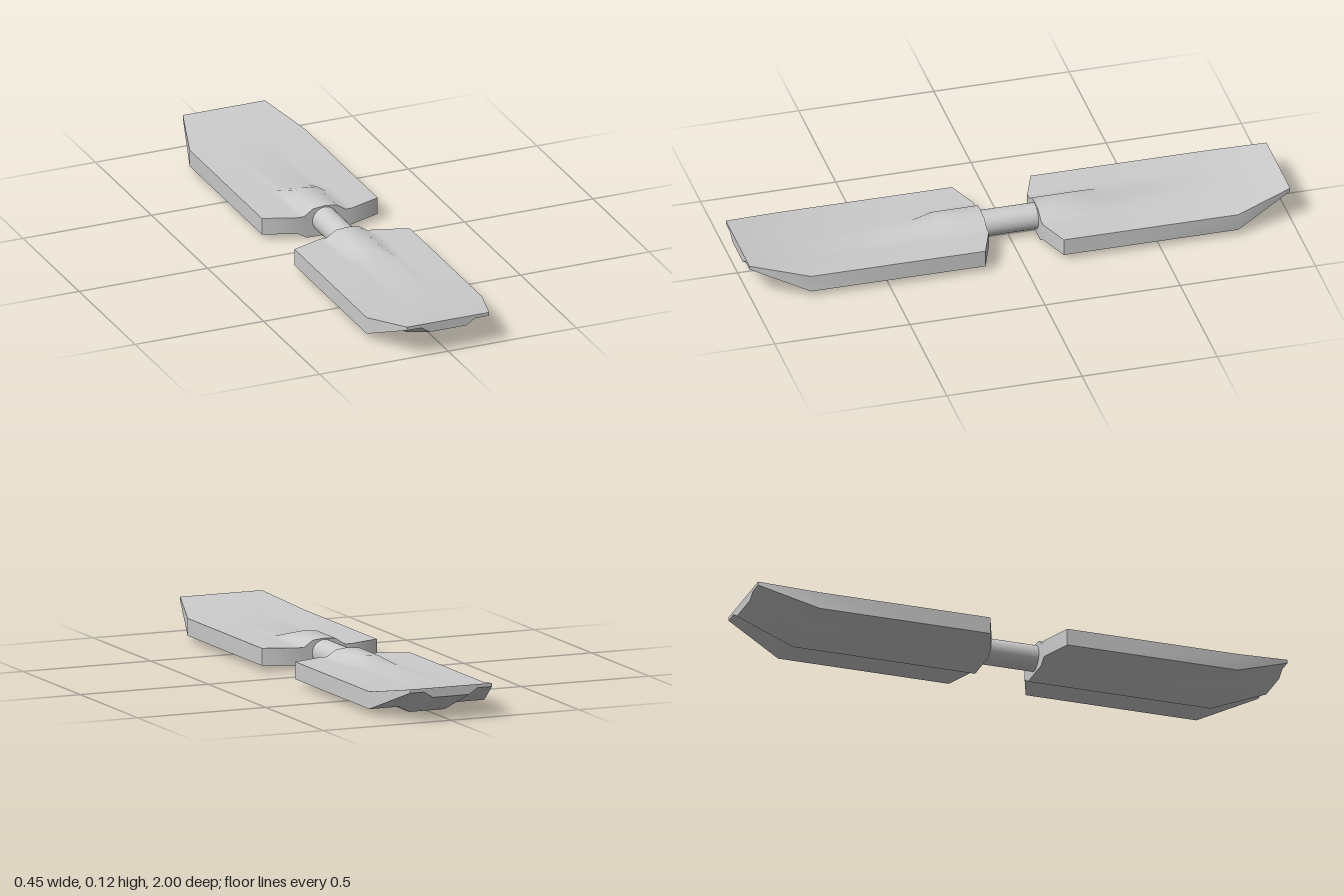
import * as THREE from 'three';
import { toCreasedNormals } from 'three/addons/utils/BufferGeometryUtils.js';

const material = new THREE.MeshStandardMaterial({ color: 0xcccccc });

// Stations along the blade: z, half width, top height, ridge rise, lower edge height, keel height
const stations = [
  [0.10, 0.106, 0.085, 0.028, 0.022, 0],
  [0.145, 0.225, 0.085, 0.028, 0.022, 0],
  [0.27, 0.225, 0.085, 0.028, 0.022, 0],
  [0.35, 0.225, 0.085, 0, 0.022, 0],
  [0.79, 0.225, 0.085, 0, 0.022, 0],
  [1.00, 0.16, 0.123, 0, 0.11, 0.088],
];

// One blade lofted from its cross-sections, pointing to +z
function bladeGeometry() {
  const top = [], bottom = [], out = [];
  for (const [z, w, yTop, rise, yEdge, yKeel] of stations) {
    const mirror = (half) => [
      ...half.map(([x, y]) => new THREE.Vector3(-x, y, z)),
      ...half.slice(0, -1).reverse().map(([x, y]) => new THREE.Vector3(x, y, z)),
    ];
    top.push(mirror([[w, yTop], [0.105, yTop], [0.08, yTop], [0.045, yTop + rise * 0.85], [0, yTop + rise]]));
    bottom.push(mirror([[w, yEdge], [0.105, yEdge], [0.07, yKeel], [0.035, yKeel], [0, yKeel]]));
  }
  const quad = (a, b, c, d) => {
    for (const p of [a, b, c, a, c, d]) out.push(p.x, p.y, p.z);
  };
  const n = top[0].length - 1, last = stations.length - 1;
  for (let i = 0; i < last; i++) {
    const T = top[i], U = top[i + 1], B = bottom[i], C = bottom[i + 1];
    for (let j = 0; j < n; j++) {
      quad(T[j], U[j], U[j + 1], T[j + 1]); // upper skin
      quad(B[j], B[j + 1], C[j + 1], C[j]); // lower skin
    }
    quad(B[n], T[n], U[n], C[n]); // side walls
    quad(B[0], C[0], U[0], T[0]);
  }
  for (let j = 0; j < n; j++) { // inner and tip ends
    quad(bottom[0][j], top[0][j], top[0][j + 1], bottom[0][j + 1]);
    quad(bottom[last][j], bottom[last][j + 1], top[last][j + 1], top[last][j]);
  }
  const geometry = new THREE.BufferGeometry();
  geometry.setAttribute('position', new THREE.Float32BufferAttribute(out, 3));
  return toCreasedNormals(geometry, THREE.MathUtils.degToRad(42));
}

export function createModel() {
  const model = new THREE.Group();
  model.name = 'doubleBlade';

  // Two identical blades, back to back
  const geometry = bladeGeometry();
  ['frontBlade', 'backBlade'].forEach((name, i) => {
    const blade = new THREE.Mesh(geometry, material);
    blade.name = name;
    blade.rotation.y = i * Math.PI;
    model.add(blade);
  });

  // Round shaft joining the blades
  const shaft = new THREE.Mesh(new THREE.CylinderGeometry(0.048, 0.048, 0.22, 32), material);
  shaft.name = 'shaft';
  shaft.rotation.x = Math.PI / 2;
  shaft.position.y = 0.06;
  model.add(shaft);

  return model;
}
